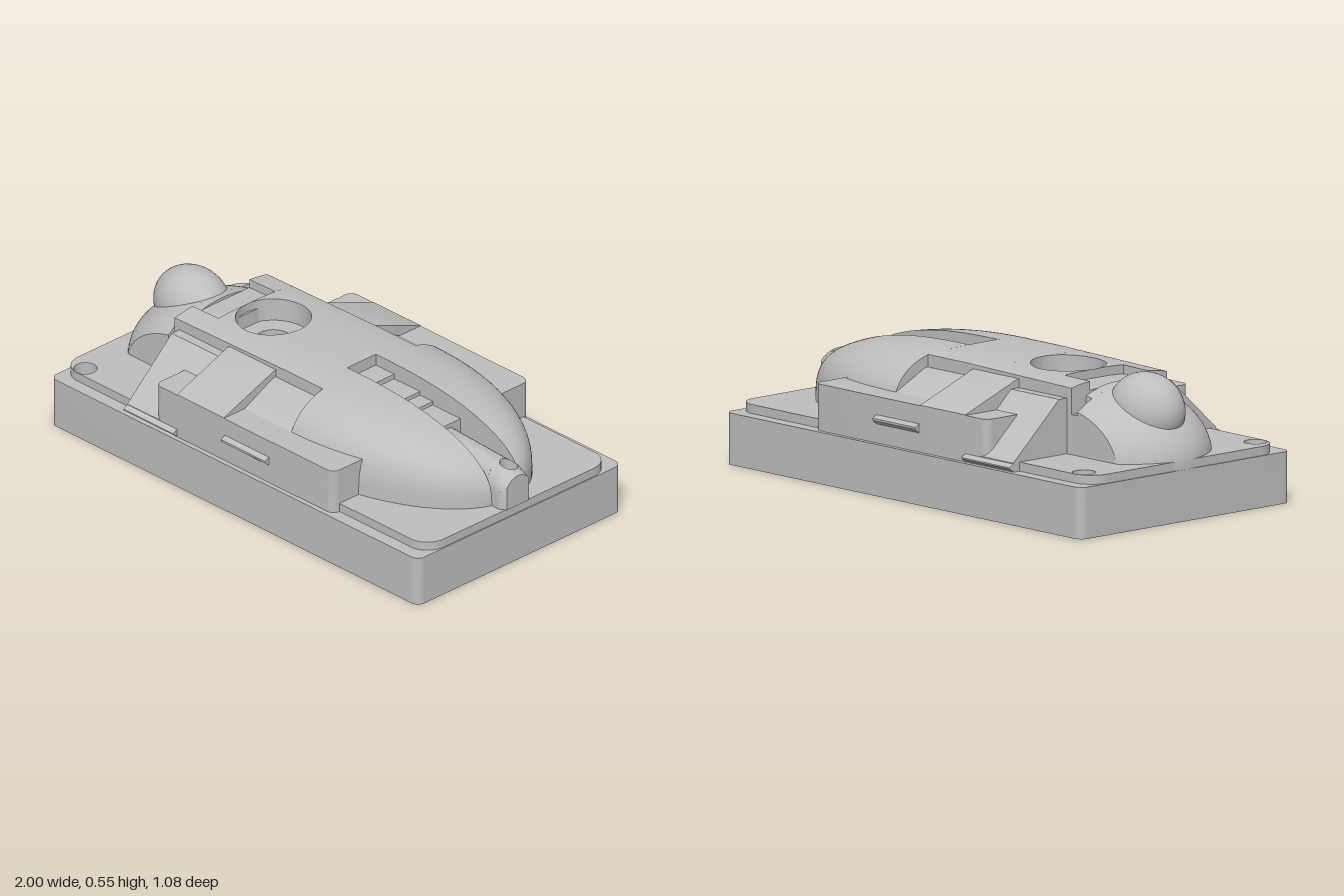
import * as THREE from 'three';
import { toCreasedNormals } from 'three/addons/utils/BufferGeometryUtils.js';

const grey = new THREE.MeshStandardMaterial({ color: 0xbebebe });
grey.name = 'plainGrey';

export function createModel() {
  const model = new THREE.Group();

  function add(name, geometry, crease = 0.5) {
    const mesh = new THREE.Mesh(toCreasedNormals(geometry, crease), grey);
    mesh.name = name;
    model.add(mesh);
    return mesh;
  }

  // Outline helpers in the x-z plane
  function roundRect(x0, x1, hz, r) {
    const s = new THREE.Shape();
    s.absarc(x1 - r, hz - r, r, 0, Math.PI / 2);
    s.absarc(x0 + r, hz - r, r, Math.PI / 2, Math.PI);
    s.absarc(x0 + r, -hz + r, r, Math.PI, Math.PI * 1.5);
    s.absarc(x1 - r, -hz + r, r, Math.PI * 1.5, Math.PI * 2);
    s.closePath();
    return s;
  }
  const circle = (x, z, r) => new THREE.Path().absarc(x, z, r, 0, Math.PI * 2);
  const rect = (x0, x1, hz) => new THREE.Path([[x0, -hz], [x1, -hz], [x1, hz], [x0, hz]]
    .map(p => new THREE.Vector2(...p)));

  // Flat slab between two heights, with holes
  function slab(name, shape, y0, y1, holes = []) {
    shape.holes = holes;
    const g = new THREE.ExtrudeGeometry(shape, { depth: y1 - y0, bevelEnabled: false, curveSegments: 20 });
    add(name, g.rotateX(Math.PI / 2).translate(0, y1, 0));
  }

  // Prism along x from a (z, y) profile, made on both sides
  function sidePrisms(name, x0, x1, profile) {
    for (const s of [1, -1]) {
      const shape = new THREE.Shape(profile.map(([z, y]) => new THREE.Vector2(-s * z, y)));
      const g = new THREE.ExtrudeGeometry(shape, { depth: x1 - x0, bevelEnabled: false });
      add(name, g.rotateY(Math.PI / 2).translate(x0, 0, 0));
    }
  }

  // Solid with a curved top: lofted from cross-sections along x
  function domed(name, x0, x1, zMin, zMax, top, bottom, nx = 20, nz = 20) {
    const ease = t => (1 - Math.cos(Math.PI * t)) / 2;
    const pos = [], idx = [], loop = nz + 3;
    for (let i = 0; i <= nx; i++) {
      const x = x0 + (x1 - x0) * ease(i / nx), a = zMin(x), b = zMax(x);
      pos.push(x, bottom, a);
      for (let j = 0; j <= nz; j++) {
        const z = a + (b - a) * ease(j / nz);
        pos.push(x, Math.max(bottom, top(x, z)), z);
      }
      pos.push(x, bottom, b);
    }
    for (let i = 0; i < nx; i++) for (let k = 0; k < loop; k++) {
      const a = i * loop + k, b = i * loop + (k + 1) % loop;
      idx.push(a, b, b + loop, a, b + loop, a + loop);
    }
    const e = nx * loop;
    for (let k = 1; k < loop - 1; k++) idx.push(0, k + 1, k, e, e + k, e + k + 1);
    const g = new THREE.BufferGeometry();
    g.setAttribute('position', new THREE.Float32BufferAttribute(pos, 3));
    g.setIndex(idx);
    add(name, g, 0.6);
  }
  const k = v => () => v;

  // Two domed halves that leave a round hole between them
  function aroundHole(name, cx, cz, r, z0, z1, top, bottom) {
    const half = x => Math.sqrt(Math.max(0, r * r - (x - cx) ** 2));
    domed(name, cx - r, cx + r, x => cz + half(x), k(z1), top, bottom, 24, 10);
    domed(name, cx - r, cx + r, k(z0), x => cz - half(x), top, bottom, 24, 10);
  }

  // Hollow base: rim, deck and raised plate
  const screws = () => [1, -1].map(s => circle(-0.91, s * 0.44, 0.045));
  const tailHole = () => circle(0.94, 0.0, 0.035);
  const cavity = new THREE.Path();
  cavity.moveTo(0.9, -0.46);
  cavity.lineTo(0.9, 0.46);
  cavity.absarc(-0.91, 0.44, 0.045, 0.464, 4.93, false);
  cavity.absarc(-0.91, -0.44, 0.045, -4.93, -0.464, false);
  cavity.closePath();
  slab('baseRim', roundRect(-1, 1, 0.54, 0.035), 0, 0.18, [cavity, tailHole()]);
  const openings = () => [...screws(), tailHole(), rect(-0.41, 0.48, 0.455)];
  slab('baseDeck', roundRect(-1, 1, 0.54, 0.035), 0.18, 0.2, openings());
  slab('raisedPlate', roundRect(-0.995, 0.995, 0.487, 0.09), 0.2, 0.235,
    [...screws(), tailHole(), rect(-0.41, 0.48, 0.455)]);

  // Wide compartment across the middle
  slab('compartmentWall', roundRect(-0.45, 0.52, 0.52, 0.035), 0.2, 0.33, [rect(-0.41, 0.48, 0.455)]);
  slab('compartmentLid', roundRect(-0.45, 0.52, 0.52, 0.035), 0.33, 0.38, [circle(-0.34, 0, 0.07)]);

  // Stepped side panels and latch ridges
  sidePrisms('frontSlope', -0.6, -0.41,
    [[0.2, 0.2], [0.2, 0.45], [0.285, 0.45], [0.52, 0.235], [0.52, 0.2]]);
  sidePrisms('frontSlopeTop', -0.41, -0.33, [[0.2, 0.34], [0.2, 0.45], [0.285, 0.45], [0.405, 0.34]]);
  sidePrisms('middleSlope', -0.33, -0.075,
    [[0.2, 0.36], [0.2, 0.485], [0.25, 0.485], [0.52, 0.382], [0.52, 0.36]]);
  sidePrisms('rearSlope', -0.075, 0.18, [[0.2, 0.36], [0.2, 0.455], [0.26, 0.455], [0.41, 0.38], [0.41, 0.36]]);
  sidePrisms('latchRidge', -0.07, 0.17, [[0.515, 0.27], [0.515, 0.312], [0.54, 0.298], [0.54, 0.29]]);
  sidePrisms('lowerRidge', -0.6, -0.33, [[0.515, 0.2], [0.515, 0.235], [0.54, 0.22], [0.54, 0.215]]);

  // Back shell: flat-topped dome that tapers to the tail
  const u = x => Math.max(0, (x - 0.18) / 0.77);
  const width = x => 0.43 * Math.sqrt(Math.max(0, 1 - u(x) ** 2));
  const shell = (x, z) => {
    const h = (0.275 + 0.012 * Math.min(1, (x + 0.62) / 0.6)) * Math.max(0, 1 - u(x) ** 2.4) ** (1 / 2.4);
    return 0.235 + h * Math.max(0, 1 - Math.abs(z / width(x)) ** 3) ** (1 / 3);
  };
  const zL = 0.085, zR = -0.065;
  for (const [x0, x1, b] of [[0.18, 0.5, 0.35], [0.5, 0.935, 0.235]]) {
    domed('backShell', x0, x1, k(zL), x => Math.max(zL, width(x)), shell, b, 28, 32);
    domed('backShell', x0, x1, x => Math.min(zR, -width(x)), k(zR), shell, b, 28, 32);
  }

  // Central spine with a round well
  domed('spineRear', -0.195, 0.15, k(-0.245), k(0.245), shell, 0.34);
  domed('spineEnd', 0.15, 0.18, k(zL), k(0.245), shell, 0.34, 2);
  domed('spineEnd', 0.15, 0.18, k(-0.245), k(zR), shell, 0.34, 2);
  aroundHole('wellSurround', -0.34, 0, 0.145, -0.245, 0.245, shell, 0.34);
  slab('wellFloor', new THREE.Shape().absarc(-0.34, 0, 0.15, 0, Math.PI * 2), 0.34, 0.42,
    [circle(-0.34, 0, 0.07)]);
  domed('spineFrontSide', -0.625, -0.485, k(0.15), k(0.245), shell, 0.2, 4);
  domed('spineFrontSide', -0.625, -0.485, k(-0.245), k(-0.15), shell, 0.2, 4);
  domed('spineFrontRecess', -0.625, -0.475, k(-0.15), k(0.15), (x, z) => shell(x, z) - 0.035, 0.2, 4);

  // Stepped channel floor along the back
  for (const [x0, x1, y] of [[0.15, 0.25, 0.475], [0.25, 0.39, 0.455], [0.39, 0.46, 0.44], [0.46, 0.61, 0.425]]) {
    add('channelStep', new THREE.BoxGeometry(x1 - x0, y - 0.35, zL - zR)
      .translate((x0 + x1) / 2, (y + 0.35) / 2, 0.01));
  }

  // Rounded tail with an upright hole
  const tailTop = (x, z) => {
    const crest = x < 0.95 ? 0.41 - (x - 0.6) * 0.05 : 0.392 - (x - 0.95) * 0.6;
    return crest - 0.09 * (1 - Math.sqrt(Math.max(0, 1 - ((z - 0.01) / 0.075) ** 2)));
  };
  domed('tail', 0.6, 0.905, k(zR), k(zL), tailTop, 0.235, 8, 16);
  aroundHole('tailEye', 0.94, 0, 0.035, zR, zL, tailTop, 0.235);
  domed('tailTip', 0.975, 1, x => zR + (x - 0.975) * 0.7, x => zL - (x - 0.975) * 0.7, tailTop, 0.235, 4, 16);

  // Rounded nose cut flat at the sides, with a notch behind it
  const v = x => Math.max(0, 1 - ((x + 0.55) / 0.45) ** 2);
  const nose = (x, z) => 0.21 + 0.28 * Math.sqrt(Math.max(0, v(x) - (z / 0.36) ** 2));
  const noseHalf = x => Math.min(0.245, 0.36 * Math.sqrt(v(x)));
  domed('nose', -1, -0.66, x => -noseHalf(x), noseHalf, nose, 0.2, 40, 32);
  domed('noseBridge', -0.66, -0.62, k(-0.17), k(0.17), nose, 0.2, 4);
  add('notchFloor', new THREE.BoxGeometry(0.04, 0.19, 0.49).translate(-0.64, 0.295, 0));

  // Egg-shaped knob on the nose
  add('knob', new THREE.SphereGeometry(1, 40, 28).scale(0.167, 0.145, 0.13).translate(-0.785, 0.4, -0.005), 1);

  return model;
}
